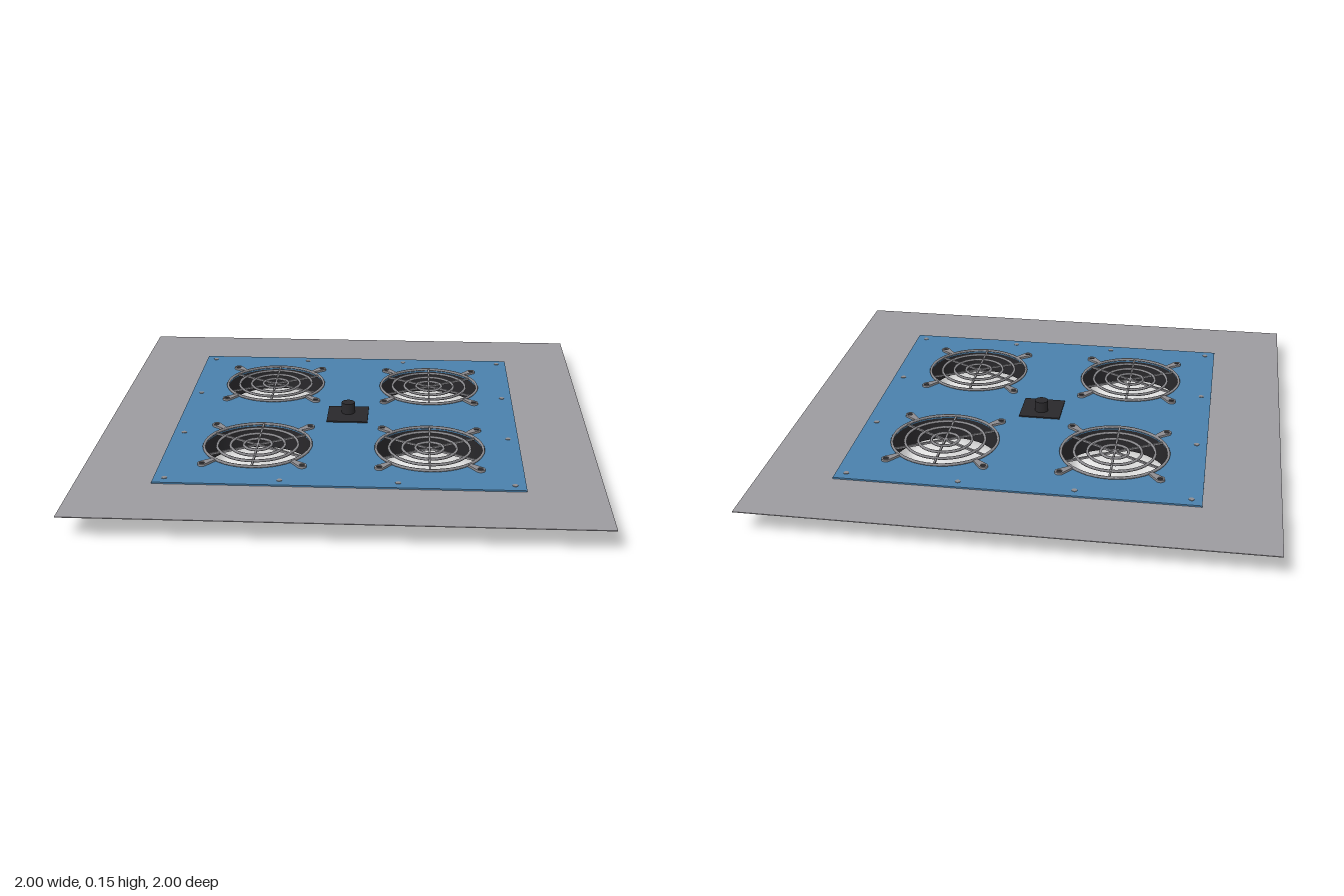
import * as THREE from 'three';

const mat = (color) => new THREE.MeshStandardMaterial({ color });
const blue = mat(0x4a80ab), grey = mat(0x9c9a9f), black = mat(0x29282b);
const steel = mat(0x8d8c90), clipGrey = mat(0x66666a);

function add(parent, name, geometry, material, x = 0, y = 0, z = 0) {
  const mesh = new THREE.Mesh(geometry, material);
  mesh.name = name;
  mesh.position.set(x, y, z);
  parent.add(mesh);
  return mesh;
}

function square(half, Type = THREE.Shape) {
  const s = new Type();
  s.moveTo(-half, -half).lineTo(half, -half).lineTo(half, half).lineTo(-half, half).closePath();
  return s;
}

function circle(x, y, r) {
  return new THREE.Path().absarc(x, y, r, 0, Math.PI * 2, true);
}

// Flat shape laid horizontally, its underside at y = 0
function slab(shape, height, curveSegments = 32) {
  return new THREE.ExtrudeGeometry(shape, { depth: height, bevelEnabled: false, curveSegments })
    .rotateX(-Math.PI / 2);
}

const FAN = 0.345, FAN_R = 0.215;
const fanSpots = [[-1, -1], [1, -1], [-1, 1], [1, 1]].map(([a, b]) => [a * FAN, b * FAN]);

// Round wire guard with spokes and four screw lugs
function fingerGuard() {
  const g = new THREE.Group();
  g.name = 'fingerGuard';
  for (const r of [0.215, 0.162, 0.109, 0.056])
    add(g, 'guardRing', new THREE.TorusGeometry(r, 0.006, 6, 48).rotateX(Math.PI / 2), steel, 0, 0.109, 0);
  for (let i = 0; i < 3; i++) {
    const spoke = add(g, 'guardSpoke', new THREE.BoxGeometry(0.43, 0.008, 0.008), steel, 0, 0.107, 0);
    spoke.rotation.y = Math.PI / 6 + i * Math.PI / 3;
  }
  const lug = new THREE.Shape();
  lug.moveTo(0.212, -0.008).lineTo(0.268, -0.017);
  lug.absarc(0.276, 0, 0.018, -Math.PI / 2, Math.PI / 2, false);
  lug.lineTo(0.268, 0.017).lineTo(0.212, 0.008).closePath();
  lug.holes.push(circle(0.276, 0, 0.011));
  const lugGeo = slab(lug, 0.01, 10);
  for (let i = 0; i < 4; i++) {
    const pivot = new THREE.Group();
    pivot.name = 'guardLug';
    pivot.rotation.y = Math.PI / 4 + i * Math.PI / 2;
    add(pivot, 'lugArm', lugGeo, steel, 0, 0.102, 0);
    add(pivot, 'lugScrew', new THREE.CylinderGeometry(0.011, 0.011, 0.008, 12), black, 0.276, 0.105, 0);
    g.add(pivot);
  }
  return g;
}

// Square fan housing with a round duct
function fanHousing() {
  const s = square(0.225);
  s.holes.push(circle(0, 0, FAN_R));
  return slab(s, 0.094, 48);
}

// Underside clamp: shallow tray, open downwards
function clamp() {
  const g = new THREE.Group();
  g.name = 'clamp';
  const rim = square(0.05);
  rim.holes.push(square(0.036, THREE.Path));
  add(g, 'clampRim', slab(rim, 0.026), clipGrey, 0, 0.068, 0);
  const base = square(0.036);
  base.holes.push(circle(0, 0, 0.012));
  add(g, 'clampPlate', slab(base, 0.008, 12), clipGrey, 0, 0.078, 0);
  return g;
}

export function createModel() {
  const model = new THREE.Group();
  model.name = 'fanTray';

  // Surrounding sheet with a square cutout
  const sheet = square(1);
  sheet.holes.push(square(0.6, THREE.Path));
  add(model, 'sheet', slab(sheet, 0.003), grey, 0, 0.094, 0);

  // Blue cover plate with fan openings
  const plate = square(0.707);
  for (const [x, z] of fanSpots) plate.holes.push(circle(x, z, FAN_R));
  add(model, 'coverPlate', slab(plate, 0.006, 48), blue, 0, 0.097, 0);

  // Downturned skirt and ribs beside the cross-shaped gap
  for (let i = 0; i < 4; i++) {
    const side = new THREE.Group();
    side.name = 'skirtSide';
    side.rotation.y = i * Math.PI / 2;
    add(side, 'skirt', new THREE.BoxGeometry(1.16, 0.019, 0.008), blue, 0, 0.0885, 0.576);
    for (const x of [-0.1, 0.1])
      add(side, 'rib', new THREE.BoxGeometry(0.008, 0.02, 0.46), blue, x, 0.088, 0.345);
    // Cable gland on the control box
    add(side, 'cableGland', new THREE.CylinderGeometry(0.012, 0.012, 0.025, 12).rotateX(Math.PI / 2),
      black, 0.05, 0.072, 0.113);
    model.add(side);
  }

  // Fans and guards
  const housingGeo = fanHousing();
  for (const [x, z] of fanSpots) {
    add(model, 'fanHousing', housingGeo, black, x, 0.003, z);
    const guard = fingerGuard();
    guard.position.set(x, 0, z);
    model.add(guard);
  }

  // Central control box: straight top, tapered bottom
  const q = Math.SQRT2;
  const boxPart = (top, bottom, h) =>
    new THREE.CylinderGeometry(top * q, bottom * q, h, 4).rotateY(Math.PI / 4).toNonIndexed();
  const upper = boxPart(0.107, 0.107, 0.03), lower = boxPart(0.107, 0.07, 0.032);
  upper.computeVertexNormals();
  lower.computeVertexNormals();
  add(model, 'controlBoxUpper', upper, blue, 0, 0.082, 0);
  add(model, 'controlBoxLower', lower, blue, 0, 0.051, 0);

  // Thermostat panel and knob
  add(model, 'controlPanel', new THREE.BoxGeometry(0.172, 0.006, 0.172), black, 0, 0.105, 0);
  add(model, 'controlKnob', new THREE.CylinderGeometry(0.028, 0.028, 0.048, 32), black, 0, 0.13, -0.018);

  // Perimeter screws with a clamp below each
  const stops = [-0.665, -0.225, 0.225, 0.665];
  for (const x of stops) for (const z of stops) {
    if (Math.max(Math.abs(x), Math.abs(z)) < 0.6) continue;
    add(model, 'screw', new THREE.CylinderGeometry(0.011, 0.011, 0.03, 12), steel, x, 0.09, z);
    const c = clamp();
    c.position.set(x, 0, z);
    model.add(c);
  }
  return model;
}
